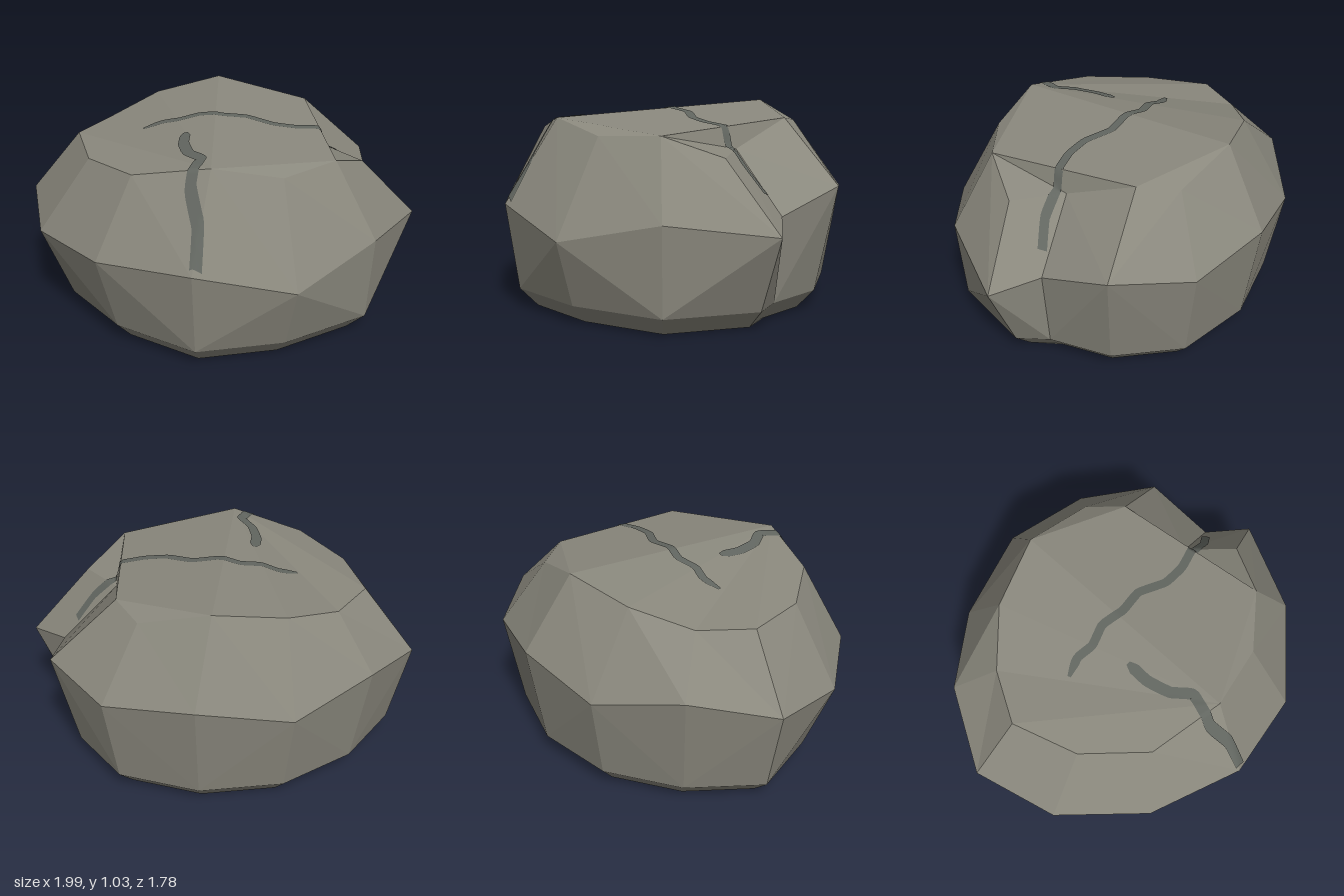
import * as THREE from 'three';

const stone = new THREE.MeshStandardMaterial({ color: 0x8a887d });
stone.name = 'grey stone';
const crackDark = new THREE.MeshStandardMaterial({ color: 0x626660, side: THREE.DoubleSide });
crackDark.name = 'dark crack';

const V = (p) => new THREE.Vector3(...p);

// Widest ring of the boulder, starting at the back and running round by the right side
const waist = [
  [0.2, 0.59, -0.89], [0.59, 0.645, -0.73], [0.74, 0.53, -0.39], [0.99, 0.48, -0.31],
  [0.9, 0.54, 0.22], [0.64, 0.43, 0.67], [0.2, 0.545, 0.89], [-0.31, 0.51, 0.86],
  [-0.75, 0.49, 0.63], [-1, 0.55, 0.26], [-0.91, 0.648, -0.18], [-0.66, 0.551, -0.57],
  [-0.26, 0.643, -0.82],
].map(V);

// Shoulder ring; points 2 and 3 form the broken notch
const shoulder = [
  [0.12, 0.94, -0.65], [0.3, 0.965, -0.54], [0.49, 0.83, -0.23], [0.74, 0.815, -0.11],
  [0.67, 0.917, 0.18], [0.49, 0.905, 0.45], [0.19, 0.975, 0.62], [-0.2, 0.9, 0.66],
  [-0.52, 0.872, 0.49], [-0.73, 0.885, 0.21], [-0.68, 0.89, -0.07], [-0.52, 0.968, -0.35],
  [-0.23, 1.03, -0.57],
].map(V);

// How far the foot draws in below each waist point
const taper = [0.91, 0.88, 0.95, 0.85, 0.97, 0.885, 0.93, 0.87, 0.85, 0.91, 0.91, 0.91, 0.91];
const foot = waist.map((p, i) => new THREE.Vector3(p.x * taper[i], 0.1, p.z * taper[i]));
const base = foot.map((p) => new THREE.Vector3(p.x * 0.89, 0, p.z * 0.89));

function boulderGeometry() {
  const pts = [];
  const n = waist.length;
  const centre = new THREE.Vector3(0, 0.5, 0);
  const tri = (a, b, c) => pts.push(a, b, c);
  const bulge = (a, b) => a.clone().add(b).multiplyScalar(0.5).distanceTo(centre);

  // Faceted sides, each quad split along its more outward diagonal
  for (const [lo, hi] of [[base, foot], [foot, waist], [waist, shoulder]]) {
    for (let i = 0; i < n; i++) {
      const j = (i + 1) % n;
      const [a, b, c, d] = [lo[i], hi[i], hi[j], lo[j]];
      if (bulge(a, c) > bulge(b, d)) {
        tri(a, b, c);
        tri(a, c, d);
      } else {
        tri(a, b, d);
        tri(b, c, d);
      }
    }
  }
  // Underside
  for (let i = 1; i < n - 1; i++) tri(base[0], base[i], base[i + 1]);
  // Two sloping top planes, small chamfers and the notch
  const cap = [
    [1, 4, 6], [1, 6, 12], [6, 8, 9], [6, 9, 10], [6, 10, 11], [6, 11, 12],
    [4, 5, 6], [6, 7, 8], [12, 0, 1], [1, 2, 4], [2, 3, 4],
  ];
  for (const [a, b, c] of cap) tri(shoulder[c], shoulder[b], shoulder[a]);

  const g = new THREE.BufferGeometry().setFromPoints(pts);
  g.computeVertexNormals();
  return g;
}

// Thin ribbon laid over the rock along an x,z path
function crack(name, path, width, rock) {
  const curve = new THREE.CatmullRomCurve3(path.map(([x, z]) => new THREE.Vector3(x, 0, z)), false, 'catmullrom', 0.2);
  const ray = new THREE.Raycaster();
  const down = new THREE.Vector3(0, -1, 0);
  const steps = 90, across = 4;
  const pos = [], index = [];
  let last = new THREE.Vector3();
  for (let i = 0; i <= steps; i++) {
    const p = curve.getPointAt(i / steps);
    const t = curve.getTangentAt(i / steps);
    const w = width * Math.min(1, 0.4 + i / 8);
    for (let k = 0; k <= across; k++) {
      const s = (k / across - 0.5) * w;
      ray.set(new THREE.Vector3(p.x - t.z * s, 3, p.z + t.x * s), down);
      const hit = ray.intersectObject(rock)[0];
      if (hit) last = hit.point.clone().addScaledVector(hit.face.normal, 0.005);
      pos.push(last.x, last.y, last.z);
      if (i < steps && k < across) {
        const a = i * (across + 1) + k, b = a + across + 1;
        index.push(a, a + 1, b, a + 1, b + 1, b);
      }
    }
  }
  const g = new THREE.BufferGeometry();
  g.setAttribute('position', new THREE.Float32BufferAttribute(pos, 3));
  g.setIndex(index);
  g.computeVertexNormals();
  const mesh = new THREE.Mesh(g, crackDark);
  mesh.name = name;
  return mesh;
}

export function createModel() {
  const group = new THREE.Group();
  group.name = 'boulder';
  const rock = new THREE.Mesh(boulderGeometry(), stone);
  rock.name = 'rock';
  rock.updateMatrixWorld();
  group.add(rock);

  group.add(crack('topCrack', [
    [-0.38, 0.14], [-0.3, 0.08], [-0.21, 0.065], [-0.12, 0], [0, -0.015], [0.12, -0.07],
    [0.27, -0.06], [0.39, -0.1], [0.52, -0.19], [0.62, -0.24], [0.69, -0.32],
  ], 0.045, rock));
  group.add(crack('frontCrack', [
    [-0.1, 0.23], [-0.06, 0.35], [0.01, 0.455], [0.1, 0.52], [0.11, 0.67], [0.18, 0.76], [0.21, 0.865],
  ], 0.055, rock));
  return group;
}
